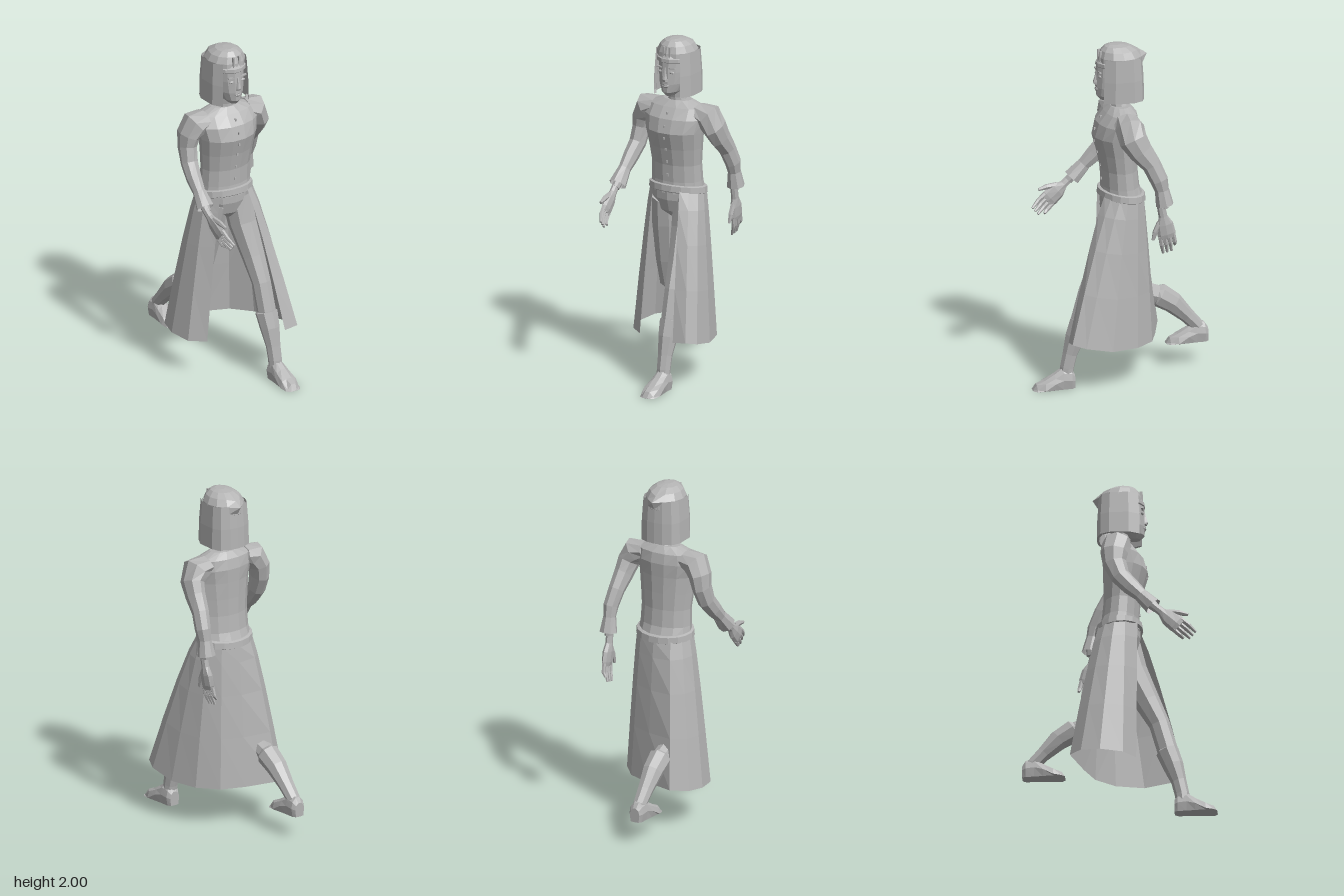
import * as THREE from 'three';

const grey = new THREE.MeshStandardMaterial({ color: 0xb4b4b4, flatShading: true, side: THREE.DoubleSide });
grey.name = 'plain grey';
const V = (x, y, z) => new THREE.Vector3(x, y, z);
const UP = V(0, 1, 0), FORWARD = V(0, 0, 1);

// Surface through rows of points; closed wraps each row, capped fills both ends
function grid(rows, closed = true, capped = closed) {
  const mid = r => r.map(() => r.reduce((s, p) => s.add(p), V(0, 0, 0)).divideScalar(r.length));
  if (capped) rows = [mid(rows[0]), ...rows, mid(rows[rows.length - 1])];
  const n = rows[0].length, idx = [], pos = [];
  rows.forEach(r => r.forEach(p => pos.push(p.x, p.y, p.z)));
  for (let i = 0; i < rows.length - 1; i++)
    for (let j = 0; j < (closed ? n : n - 1); j++) {
      const k = (j + 1) % n, a = i * n + j, b = i * n + k, c = a + n, d = b + n;
      idx.push(a, b, d, a, d, c);
    }
  const g = new THREE.BufferGeometry();
  g.setAttribute('position', new THREE.Float32BufferAttribute(pos, 3));
  g.setIndex(idx);
  g.computeVertexNormals();
  return g;
}

// Elliptical rings [x, y, z, halfWidth, halfDepth] along a path
function rings(pts, sides = 8, axis = null) {
  const c = pts.map(p => V(p[0], p[1], p[2]));
  return pts.map((p, i) => {
    const t = axis ?? c[Math.min(i + 1, c.length - 1)].clone().sub(c[Math.max(i - 1, 0)]).normalize();
    const u = V(1, 0, 0).addScaledVector(t, -t.x).normalize(), v = t.clone().cross(u);
    return Array.from({ length: sides }, (_, j) => {
      const a = j / sides * Math.PI * 2;
      return c[i].clone().addScaledVector(u, Math.cos(a) * p[3]).addScaledVector(v, Math.sin(a) * p[4]);
    });
  });
}

export function createModel() {
  const model = new THREE.Group();
  const add = (name, geo, parent = model) => {
    const m = new THREE.Mesh(geo, grey);
    m.name = name;
    parent.add(m);
    return m;
  };
  const loft = (name, pts, sides, axis, parent) => add(name, grid(rings(pts, sides, axis)), parent);
  const box = (name, w, h, d, x, y, z, rz = 0) => {
    const m = add(name, new THREE.BoxGeometry(w, h, d));
    m.position.set(x, y, z);
    m.rotation.z = rz;
  };

  // Torso, hips and neck
  const bust = [[0, 1.09, -.005, .165, .125], [0, 1.16, .005, .158, .108], [0, 1.26, .012, .155, .105],
    [0, 1.36, .022, .165, .115], [0, 1.46, .035, .178, .13], [0, 1.54, .022, .195, .12],
    [0, 1.6, .005, .185, .09], [0, 1.635, .005, .09, .058]];
  loft('torso', bust, 14, UP);
  loft('hips', [[0, .94, 0, .04, .06], [0, .98, 0, .12, .1], [0, 1.05, 0, .155, .12], [0, 1.1, 0, .16, .12]], 12, UP);
  loft('neck', [[0, 1.61, 0, .062, .06], [0, 1.65, .01, .05, .05], [0, 1.72, .025, .05, .05]], 10, UP);
  for (const y of [1.2, 1.28, 1.36, 1.43, 1.5, 1.57]) {
    const k = bust.findIndex(p => p[1] > y), a = bust[k - 1], b = bust[k], f = (y - a[1]) / (b[1] - a[1]);
    box('button', .01, .014, .012, 0, y, (a[2] + a[4]) * (1 - f) + (b[2] + b[4]) * f - .002);
  }

  // Belt, tilted a little down at the back
  const belt = rings([[0, 1.085, -.003, .17, .13], [0, 1.09, -.003, .178, .138], [0, 1.125, -.003, .175, .134],
    [0, 1.13, -.003, .162, .12]], 18, UP);
  belt.flat().forEach(p => { p.y += p.z * .13; });
  add('belt', grid(belt));

  // Open-fronted skirt: [waist x, waist z, hem x, hem y, hem z]
  const hem = [[.08, .118, .18, .29, .355], [.125, .09, .265, .3, .355], [.16, .045, .297, .28, .28],
    [.17, 0, .285, .245, .12], [.155, -.06, .235, .24, -.04], [.1, -.11, .14, .24, -.15],
    [0, -.135, 0, .24, -.205], [-.1, -.115, -.19, .25, -.27], [-.15, -.07, -.275, .24, -.2],
    [-.17, -.015, -.3, .23, -.09], [-.158, .045, -.275, .22, .04], [-.1, .11, -.19, .22, .11]];
  add('skirt', grid([0, .12, .35, .65, 1].map(t => hem.map(([a, b, x, y, z]) => {
    const s = Math.pow(t, .85);
    return V(a + (x - a) * s, 1.1 + b * .13 + (y - 1.1 - b * .13) * t, b + (z - b) * s);
  })), false));

  // Head and facial features
  loft('head', [[0, 1.675, .085, .025, .035], [0, 1.7, .06, .052, .083], [0, 1.75, .036, .076, .112],
    [0, 1.82, .026, .088, .12], [0, 1.9, .02, .09, .122], [0, 1.95, .015, .07, .1]], 14, UP);
  loft('nose', [[0, 1.768, .142, .018, .016], [0, 1.782, .144, .016, .02], [0, 1.815, .142, .008, .012],
    [0, 1.85, .136, .007, .008]], 6, UP);
  loft('lips', [[0, 1.728, .135, .012, .012], [0, 1.738, .138, .024, .015], [0, 1.745, .138, .026, .012],
    [0, 1.752, .138, .018, .014]], 8, UP);
  for (const s of [-1, 1]) {
    const eye = add('eye', new THREE.SphereGeometry(.017, 8, 6));
    eye.scale.set(1, .45, .5);
    eye.position.set(s * .038, 1.822, .133);
    box('eyebrow', .042, .007, .012, s * .04, 1.848, .134, s * .12);
    box('headbandProng', .01, .065, .016, s * .02, 1.937, .124);
  }

  // Hair: thick curtain open at the face, and a crown peaked at the back
  const right = [[-.088, .118], [-.122, .06], [-.124, -.05], [-.1, -.1], [-.05, -.122]];
  const plan = [...right, [0, -.127], ...right.map(([x, z]) => [-x, z]).reverse()];
  const curtain = (y, k) => plan.map(([x, z]) => V(x * k, y, z * (k + .02)));
  add('hairCurtain', grid([curtain(1.93, .84), curtain(1.675, .9), curtain(1.675, 1.01), curtain(1.8, .99),
    curtain(1.93, .92)], false));
  const crown = rings([[0, 1.885, .004, .114, .132], [0, 1.93, .004, .114, .128], [0, 1.968, .01, .094, .108],
    [0, 1.992, .022, .062, .072], [0, 2, .035, .025, .035]], 12, UP);
  crown[1][3].z = -.155;
  crown[2][3].set(0, 1.957, -.112);
  add('hairCrown', grid(crown));
  loft('headband', [[0, 1.875, .01, .103, .132], [0, 1.88, .01, .11, .137], [0, 1.9, .01, .11, .135],
    [0, 1.905, .01, .1, .125]], 14, UP);

  // Arms with flared cuffs
  loft('leftArm', [[.13, 1.575, 0, .05, .075], [.2, 1.555, 0, .078, .085], [.237, 1.49, -.012, .06, .082],
    [.247, 1.42, -.055, .052, .07], [.258, 1.34, -.115, .046, .055], [.272, 1.25, -.155, .042, .052],
    [.27, 1.16, -.18, .032, .036], [.27, 1.08, -.185, .022, .026]], 8);
  loft('rightArm', [[-.13, 1.575, 0, .05, .075], [-.2, 1.555, 0, .078, .085], [-.237, 1.49, -.012, .06, .08],
    [-.247, 1.42, -.01, .05, .068], [-.255, 1.33, .025, .048, .056], [-.265, 1.26, .085, .043, .052],
    [-.272, 1.18, .165, .033, .036], [-.275, 1.11, .235, .022, .026]], 8);
  add('leftCuff', grid(rings([[.27, 1.19, -.172, .036, .042], [.27, 1.1, -.188, .052, .052]]), true, false));
  add('rightCuff', grid(rings([[-.27, 1.2, .145, .036, .042], [-.274, 1.125, .215, .052, .052]]), true, false));

  // Hands hang along -y with the thumb toward +z
  const hand = (name, x, y, z, rx, rz) => {
    const g = new THREE.Group();
    g.name = name;
    g.position.set(x, y, z);
    g.rotation.set(rx, 0, rz);
    model.add(g);
    loft('palm', [[0, .02, 0, .02, .024], [0, -.05, 0, .02, .026], [0, -.1, 0, .023, .05],
      [0, -.16, 0, .02, .054], [0, -.185, 0, .014, .046]], 8, null, g);
    for (let i = 0; i < 4; i++) {
      const w = -.037 + i * .025, l = i === 0 ? .245 : .275;
      loft('finger', [[0, -.165, w, .013, .014], [-.004 * Math.sign(x), -.22, w * 1.05, .012, .013],
        [-.02 * Math.sign(x), -l, w, .007, .008]], 6, null, g);
    }
    loft('thumb', [[0, -.08, .025, .014, .018], [0, -.13, .062, .014, .016], [0, -.175, .085, .008, .009]], 6, null, g);
  };
  hand('leftHand', .272, 1.08, -.168, .2, -.02);
  hand('rightHand', -.28, 1.12, .225, -.86, .08);

  // Legs: left strides forward, right trails behind
  loft('leftLeg', [[.075, 1.04, .01, .08, .105], [.085, .88, .06, .078, .095], [.1, .7, .15, .064, .075],
    [.108, .56, .22, .054, .06], [.112, .4, .265, .054, .06], [.114, .25, .31, .045, .05]], 8);
  loft('rightLeg', [[-.075, 1.04, 0, .08, .105], [-.09, .88, -.02, .078, .095], [-.108, .65, -.06, .064, .075],
    [-.116, .5, -.1, .058, .062], [-.118, .455, -.17, .055, .06], [-.118, .42, -.28, .05, .055]], 8);
  loft('leftBoot', [[.113, .4, .262, .05, .05], [.113, .39, .264, .066, .066], [.114, .3, .298, .056, .06],
    [.115, .2, .33, .042, .044], [.116, .12, .348, .04, .042], [.116, .06, .355, .04, .04]], 8);
  loft('rightBoot', [[-.118, .435, -.24, .05, .05], [-.118, .43, -.255, .066, .07], [-.12, .375, -.34, .06, .062],
    [-.122, .29, -.425, .046, .044], [-.124, .225, -.485, .04, .04], [-.124, .18, -.5, .04, .038]], 8);

  // Feet, flattened on the sole, with the heel at z = 0
  const foot = (name, x, y, z) => {
    const rows = rings([[0, .045, 0, .032, .04], [0, .05, .02, .045, .065], [0, .055, .07, .046, .07],
      [0, .04, .12, .052, .05], [0, .025, .18, .058, .03], [0, .018, .225, .048, .018], [0, .012, .245, .03, .01]], 10, FORWARD);
    rows.flat().forEach(p => { p.y = Math.max(0, p.y < .03 ? p.y - .02 : p.y); });
    add(name, grid(rows)).position.set(x, y, z);
  };
  foot('leftFoot', .118, 0, .306);
  foot('rightFoot', -.124, .133, -.546);

  return model;
}
